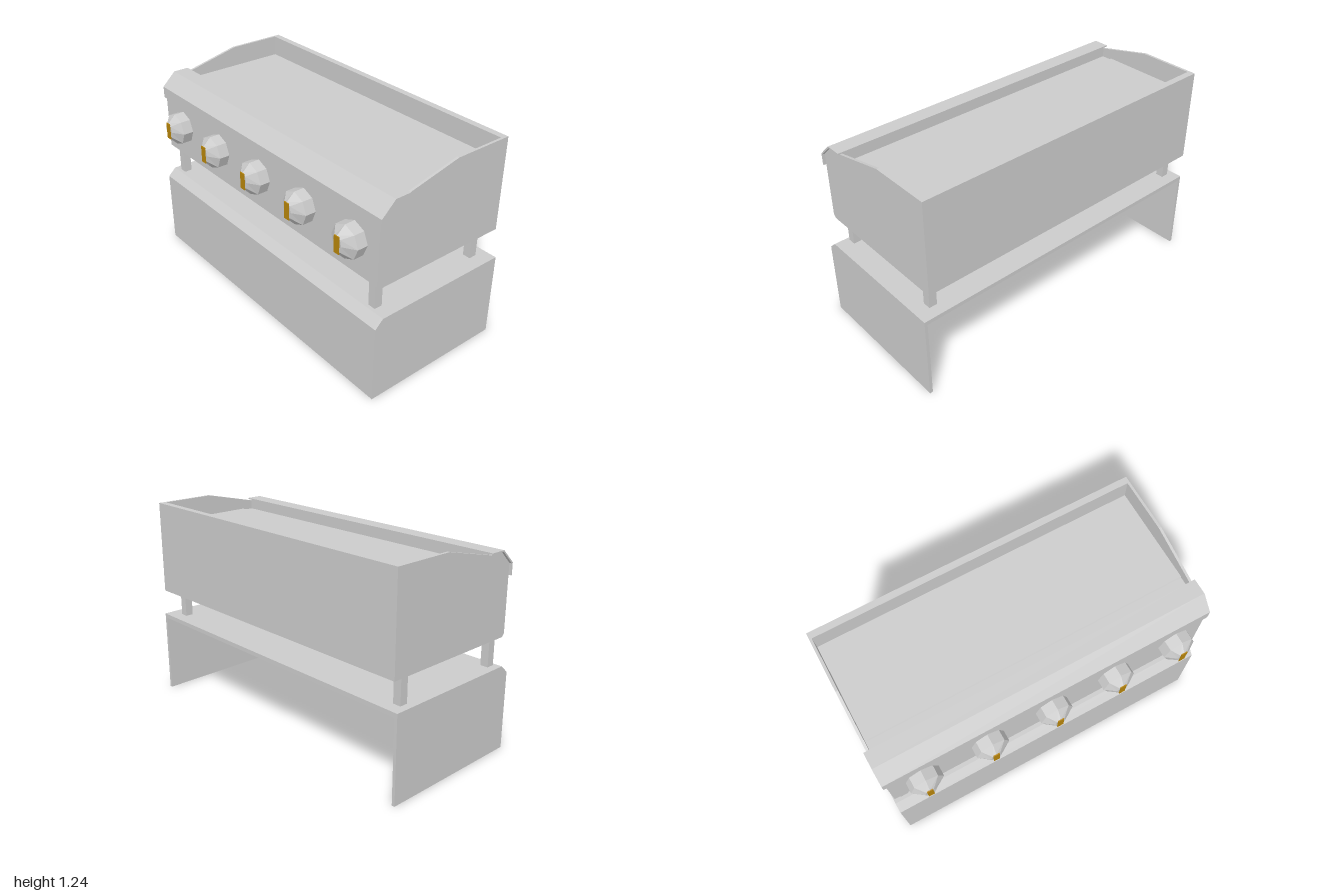
import * as THREE from 'three';

const grey = new THREE.MeshStandardMaterial({ color: 0xcccccc, flatShading: true });
const gold = new THREE.MeshStandardMaterial({ color: 0xb8860b, flatShading: true });

// Extrudes an x-y outline between two z positions.
function slab(name, points, z0, z1) {
  const shape = new THREE.Shape(points.map(([x, y]) => new THREE.Vector2(x, y)));
  const geo = new THREE.ExtrudeGeometry(shape, { depth: z1 - z0, bevelEnabled: false });
  geo.translate(0, 0, z0);
  const mesh = new THREE.Mesh(geo, grey);
  mesh.name = name;
  return mesh;
}

function box(name, x0, x1, y0, y1, z0, z1, material = grey) {
  const mesh = new THREE.Mesh(new THREE.BoxGeometry(x1 - x0, y1 - y0, z1 - z0), material);
  mesh.position.set((x0 + x1) / 2, (y0 + y1) / 2, (z0 + z1) / 2);
  mesh.name = name;
  return mesh;
}

// Eight-sided knob, its nose narrowing to a slim grip with a coloured marker.
function makeKnob() {
  const knob = new THREE.Group();
  knob.name = 'knob';
  const base = new THREE.Mesh(new THREE.CylinderGeometry(0.098, 0.098, 0.065, 8), grey);
  base.name = 'knobBase';
  base.rotation.z = Math.PI / 2;
  base.position.x = -0.0325;

  const noseGeo = new THREE.CylinderGeometry(0.098, 0.098, 0.045, 8);
  const p = noseGeo.attributes.position;
  for (let i = 0; i < p.count; i++) {
    if (p.getY(i) > 0) p.setXYZ(i, p.getX(i) * 0.52, p.getY(i), p.getZ(i) * 0.32 - 0.004);
  }
  noseGeo.computeVertexNormals();
  const nose = new THREE.Mesh(noseGeo, grey);
  nose.name = 'knobNose';
  nose.rotation.z = Math.PI / 2;
  nose.position.x = -0.0875;

  knob.add(base, nose, box('knobMarker', -0.115, -0.109, -0.05, 0.05, -0.022, 0.014, gold));
  return knob;
}

export function createModel() {
  const model = new THREE.Group();
  model.name = 'griddleOnStand';

  // Stand: bent front and top sheet, open at the back and below, closed at both ends
  const standOutline = [[-0.415, 0], [0.48, 0], [0.48, 0.51], [-0.365, 0.51], [-0.415, 0.463]];
  model.add(slab('standSheet', [
    [-0.415, 0], [-0.397, 0], [-0.397, 0.455], [-0.362, 0.485],
    [0.48, 0.485], [0.48, 0.51], [-0.365, 0.51], [-0.415, 0.463],
  ], -0.982, 0.982));
  model.add(slab('standEndPanel', standOutline, -1, -0.982));
  model.add(slab('standEndPanel', standOutline, 0.982, 1));

  // Legs
  for (const z of [-0.932, 0.892]) {
    for (const x of [-0.32, 0.385]) {
      model.add(box('leg', x - 0.024, x + 0.024, 0.484, 0.68, z - 0.024, z + 0.024));
    }
  }

  // Griddle body with the sunken cooking plate and grease trough
  model.add(slab('griddleBody', [
    [-0.383, 0.692], [-0.366, 0.675], [0.49, 0.675], [0.49, 1.235], [0.45, 1.235],
    [0.45, 1.112], [-0.14, 1.112], [-0.145, 1.104], [-0.21, 1.104], [-0.21, 1.162],
    [-0.302, 1.162], [-0.383, 1.085],
  ], -0.97, 0.953));

  // Splash walls at both ends
  const wallOutline = [
    [-0.383, 0.692], [-0.366, 0.675], [0.49, 0.675], [0.49, 1.235], [0.125, 1.235],
    [-0.22, 1.155], [-0.225, 1.162], [-0.302, 1.162], [-0.383, 1.085],
  ];
  model.add(slab('splashWall', wallOutline, -0.985, -0.97));
  model.add(slab('splashWall', wallOutline, 0.953, 0.968));

  // Thin bent cover over the front edge
  model.add(slab('frontCover', [
    [-0.383, 1.02], [-0.383, 1.085], [-0.302, 1.162], [-0.21, 1.162],
    [-0.21, 1.17], [-0.306, 1.17], [-0.391, 1.09], [-0.391, 1.02],
  ], -1, 0.983));

  // Row of control knobs
  for (let i = -2; i <= 2; i++) {
    const knob = makeKnob();
    knob.position.set(-0.38, 0.894, i * 0.395);
    model.add(knob);
  }
  return model;
}
